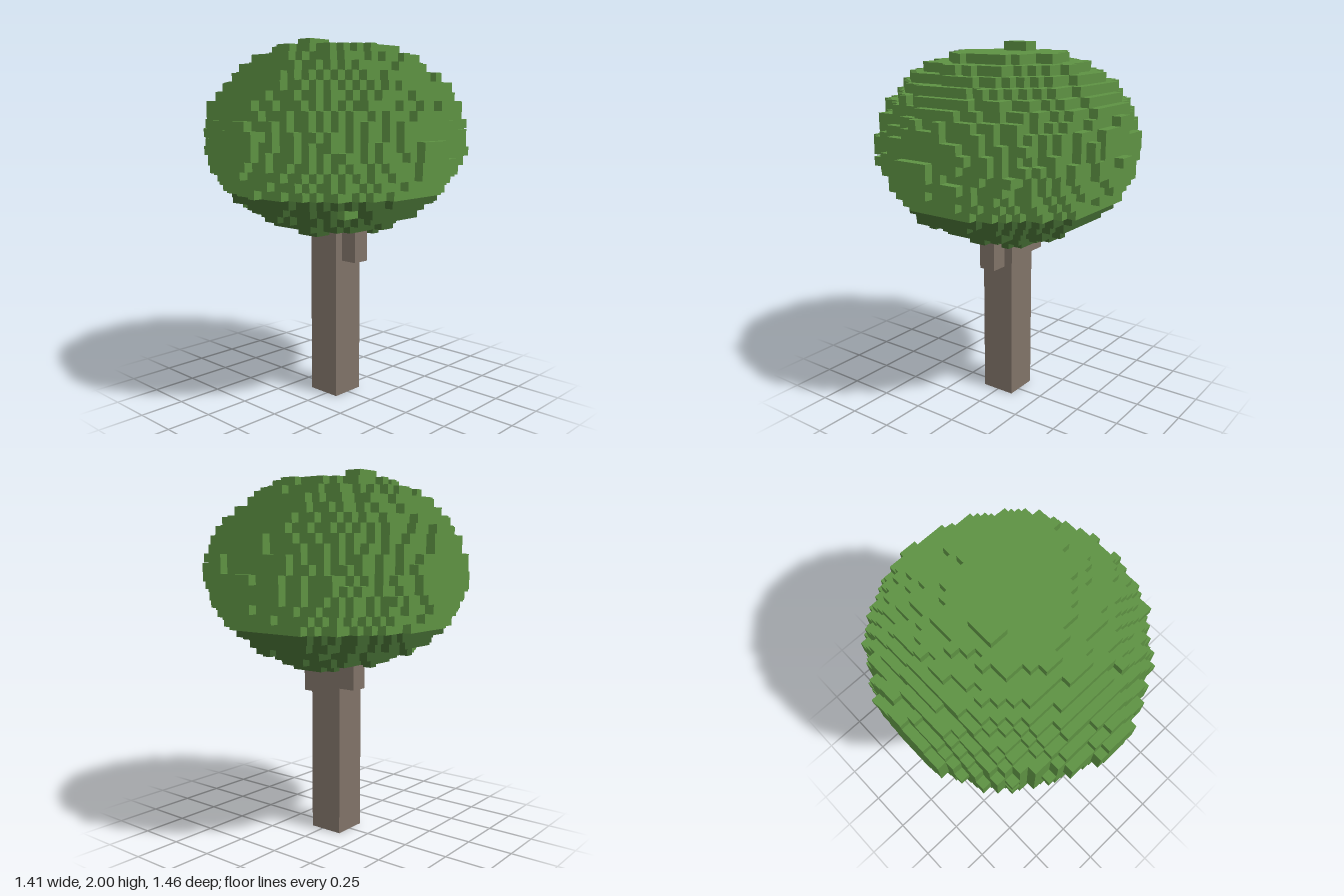
import * as THREE from 'three';

const V = 2 / 41; // edge length of one cube; the tree is 41 cubes tall
const material = (name, color) => new THREE.MeshStandardMaterial({ name, color });

// Repeatable noise in 0..1 for an integer cell
function hash(x, y, z) {
  let h = (x * 374761393 + y * 668265263 + z * 1274126177) | 0;
  h = Math.imul(h ^ (h >>> 13), 1274126177);
  h = Math.imul(h ^ (h >>> 16), 2246822519);
  return ((h ^ (h >>> 15)) >>> 0) / 4294967296;
}

// Small rounded clumps that stand proud of the crown: [x0, x1, y0, y1, z0, z1], inclusive
const CLUMPS = [
  [-4, -3, 40, 40, -1, 1],   // top
  [14, 14, 28, 29, -1, 2],   // left side
  [-14, -14, 26, 32, -4, 4], // right side
  [-2, 2, 27, 31, 14, 14],   // front
  [-1, 0, 29, 29, -15, -15], // back
  [-2, 0, 19, 19, 2, 3],     // underside, front
  [-2, 3, 19, 19, -4, -2],   // underside, back
];

// Squared distance from the middle of a range, 1 at its ends
const span = (c, c0, c1) => ((2 * c - c0 - c1) / (c1 - c0 + 1)) ** 2;

// Leaf cubes: x cells are centred on whole numbers, y and z cells on halves
function isLeaf(x, y, z) {
  for (const [x0, x1, y0, y1, z0, z1] of CLUMPS) {
    if (x < x0 || x > x1 || y < y0 || y > y1 || z < z0 || z > z1) continue;
    if (span(x, x0, x1) + span(y, y0, y1) + span(z, z0, z1) < 1) return true;
  }
  if (y < 20 || y > 39 || x < -14 || x > 13 || z < -14 || z > 13) return false;
  const d = ((x + 0.5) / 14.15) ** 2 + ((y + 0.5 - 30) / 10.6) ** 2 + ((z + 0.5) / 14.25) ** 2;
  const rough = hash(x >> 1, y >> 1, z >> 1) * 0.5 + hash(x, y, z) * 0.5 - 0.5;
  return d < 1 + rough * 0.13;
}

// The lowest layers are in the darker leaf colour, apart from a few light patches
function isDark(x, y, z) {
  if (y > 23) return false;
  const frontPatch = x >= -8 && x <= -6 && y >= 21 && y <= 22 && z > 0;
  const sidePatch = x >= 7 && y === 22 && z >= 5 && z <= 6;
  return !frontPatch && !sidePatch;
}

// Each side of a cube: outward normal and two edge directions with u x v = normal
const SIDES = [
  [[1, 0, 0], [0, 1, 0], [0, 0, 1]], [[-1, 0, 0], [0, 0, 1], [0, 1, 0]],
  [[0, 1, 0], [0, 0, 1], [1, 0, 0]], [[0, -1, 0], [1, 0, 0], [0, 0, 1]],
  [[0, 0, 1], [1, 0, 0], [0, 1, 0]], [[0, 0, -1], [0, 1, 0], [1, 0, 0]],
];

// Keeps only the open sides of the leaf cubes of one colour
function leafGeometry(dark) {
  const positions = [], normals = [], index = [];
  for (let x = -15; x <= 15; x++) for (let y = 18; y <= 41; y++) for (let z = -16; z <= 16; z++) {
    if (!isLeaf(x, y, z) || isDark(x, y, z) !== dark) continue;
    for (const [n, u, v] of SIDES) {
      if (isLeaf(x + n[0], y + n[1], z + n[2])) continue;
      const first = positions.length / 3;
      for (const [a, b] of [[-1, -1], [1, -1], [1, 1], [-1, 1]]) {
        const c = [x, y + 0.5, z + 0.5];
        for (let k = 0; k < 3; k++) positions.push((c[k] + (n[k] + a * u[k] + b * v[k]) / 2) * V);
        normals.push(...n);
      }
      index.push(first, first + 1, first + 2, first, first + 2, first + 3);
    }
  }
  const geometry = new THREE.BufferGeometry();
  geometry.setAttribute('position', new THREE.Float32BufferAttribute(positions, 3));
  geometry.setAttribute('normal', new THREE.Float32BufferAttribute(normals, 3));
  geometry.setIndex(index);
  return geometry;
}

export function createModel() {
  const tree = new THREE.Group();
  tree.name = 'tree';
  const bark = material('bark', 0x7f7267);
  const lightLeaf = material('lightLeaf', 0x5d9142);
  const darkLeaf = material('darkLeaf', 0x3d612d);

  const add = (name, geometry, mat) => {
    const mesh = new THREE.Mesh(geometry, mat);
    mesh.name = name;
    tree.add(mesh);
    return mesh;
  };

  // Wooden boxes, given by their limits in cubes
  const wood = (name, x0, x1, y0, y1, z0, z1) =>
    add(name, new THREE.BoxGeometry((x1 - x0) * V, (y1 - y0) * V, (z1 - z0) * V), bark)
      .position.set((x0 + x1) * V / 2, (y0 + y1) * V / 2, (z0 + z1) * V / 2);
  wood('trunk', -2.5, 1.5, 0, 21, -2, 2);
  wood('leftBranch', 1.5, 3.5, 16, 21, -1, 1);
  wood('rightBranch', -4.5, -2.5, 17, 21, -2, 0);

  // Crown of leaves
  add('crown', leafGeometry(false), lightLeaf);
  add('crownUnderside', leafGeometry(true), darkLeaf);
  return tree;
}
